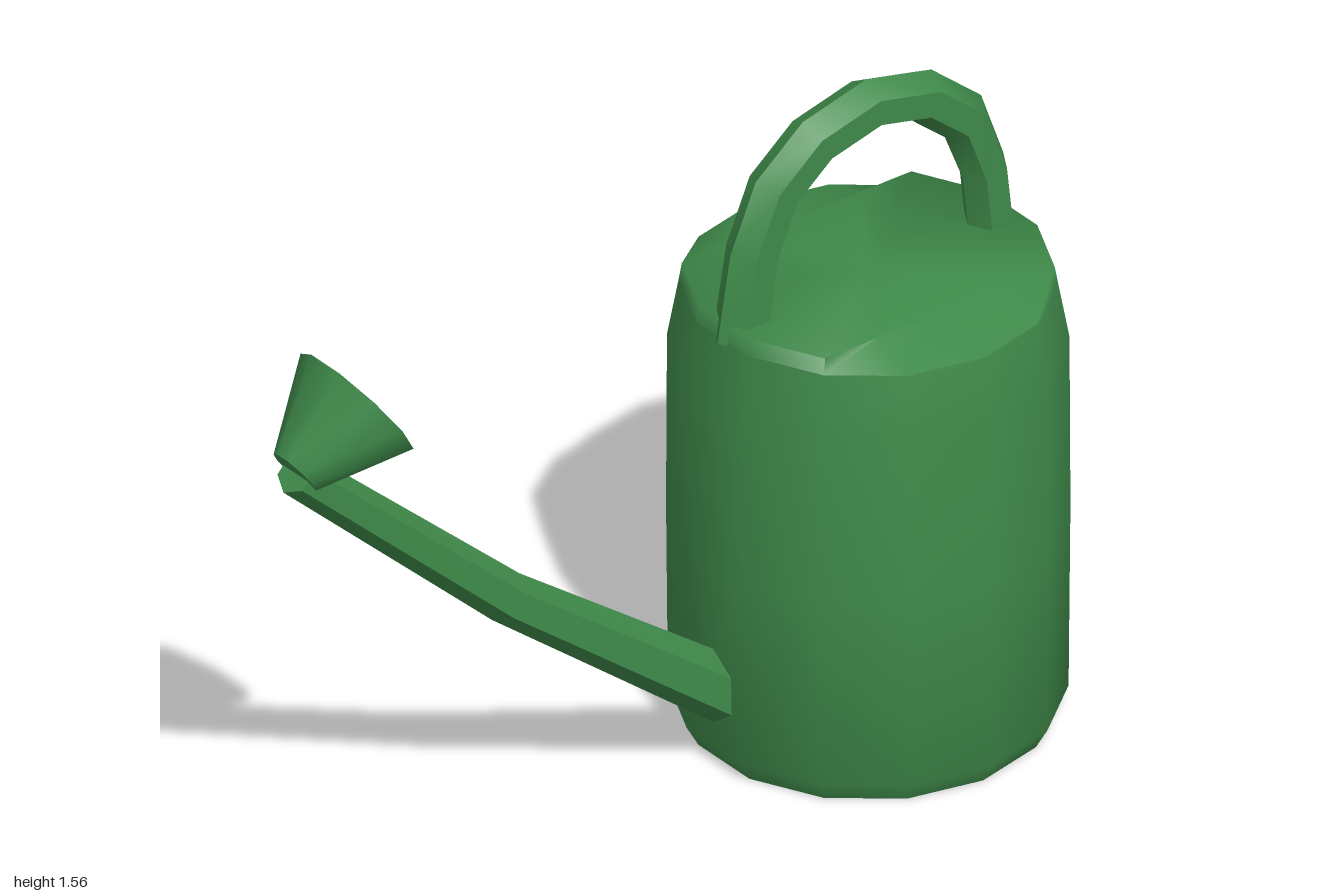
import * as THREE from 'three';
import { toCreasedNormals } from 'three/addons/utils/BufferGeometryUtils.js';

const green = new THREE.MeshStandardMaterial({ color: 0x3f8a4a });
const V = (x, y, z) => new THREE.Vector3(x, y, z);

// Skin a series of equal-sized rings, closing chosen ends with a fan
function loft(rings, { start = true, end = true, crease = 0.7 } = {}) {
  const n = rings[0].length;
  const pos = [];
  const tri = (...pts) => pts.forEach((p) => pos.push(p.x, p.y, p.z));
  for (let i = 0; i < rings.length - 1; i++) {
    for (let j = 0; j < n; j++) {
      const k = (j + 1) % n;
      const a = rings[i], b = rings[i + 1];
      tri(a[j], a[k], b[k]);
      tri(a[j], b[k], b[j]);
    }
  }
  const cap = (ring, flip) => {
    const c = ring.reduce((s, p) => s.add(p), V(0, 0, 0)).divideScalar(n);
    for (let j = 0; j < n; j++) {
      const k = (j + 1) % n;
      flip ? tri(c, ring[k], ring[j]) : tri(c, ring[j], ring[k]);
    }
  };
  if (start) cap(rings[0], true);
  if (end) cap(rings[rings.length - 1], false);
  const geo = new THREE.BufferGeometry();
  geo.setAttribute('position', new THREE.Float32BufferAttribute(pos, 3));
  return toCreasedNormals(geo, crease);
}

// Regular polygon ring spanned by directions u and v
function polygon(center, u, v, radius, sides, offset = 0) {
  return Array.from({ length: sides }, (_, j) => {
    const a = offset + (j / sides) * Math.PI * 2;
    return center.clone()
      .addScaledVector(u, Math.cos(a) * radius)
      .addScaledVector(v, Math.sin(a) * radius);
  });
}

// Rings along a path in the side plane; points are [z, y, radius]
function sweep(points, sides, offset) {
  const x = V(1, 0, 0);
  const centers = points.map(([z, y]) => V(0, y, z));
  return points.map(([, , r], i) => {
    const before = centers[Math.max(i - 1, 0)];
    const after = centers[Math.min(i + 1, points.length - 1)];
    const t = after.clone().sub(before).normalize();
    return polygon(centers[i], x, t.cross(x), r, sides, offset);
  });
}

export function createModel() {
  const model = new THREE.Group();
  const add = (name, geometry) => {
    const mesh = new THREE.Mesh(geometry, green);
    mesh.name = name;
    model.add(mesh);
  };

  // Fourteen-sided tank with bevelled foot and shoulder
  const cz = -0.58;
  const tankRing = (r, y) => polygon(V(0, y, cz), V(0, 0, 1), V(1, 0, 0), r, 14, Math.PI / 2);
  const rim = tankRing(0.405, 1.057);
  add('tank', loft(
    [tankRing(0.4, 0), tankRing(0.428, 0.05), tankRing(0.432, 0.5), tankRing(0.43, 0.92), rim],
    { end: false }));

  // Slightly raised lid, sloping down towards the left and right
  const lidTop = rim.map((p) =>
    V(THREE.MathUtils.clamp(p.x, -0.25, 0.25), 1.095, cz + (p.z - cz) * 0.98));
  add('lid', loft([rim, lidTop], { start: false, crease: 1.5 }));

  // Arched hexagonal handle
  add('handle', loft(sweep([
    [-0.235, 1.04, 0.063], [-0.265, 1.24, 0.06], [-0.324, 1.378, 0.06],
    [-0.429, 1.463, 0.06], [-0.576, 1.5, 0.06], [-0.724, 1.466, 0.06],
    [-0.836, 1.372, 0.06], [-0.89, 1.23, 0.056], [-0.912, 1.04, 0.056],
  ], 6, Math.PI / 6)));

  // Tapering spout with one bend
  add('spout', loft(sweep([
    [-0.25, 0.135, 0.075], [0.4, 0.63, 0.058], [0.967, 1.148, 0.05],
  ], 6, Math.PI / 6)));

  // Flared sprinkler rose, its wide face tipped back and up
  add('rose', loft(sweep([[0.97, 1.15, 0.06], [0.802, 1.266, 0.159]], 10, 0)));

  return model;
}
